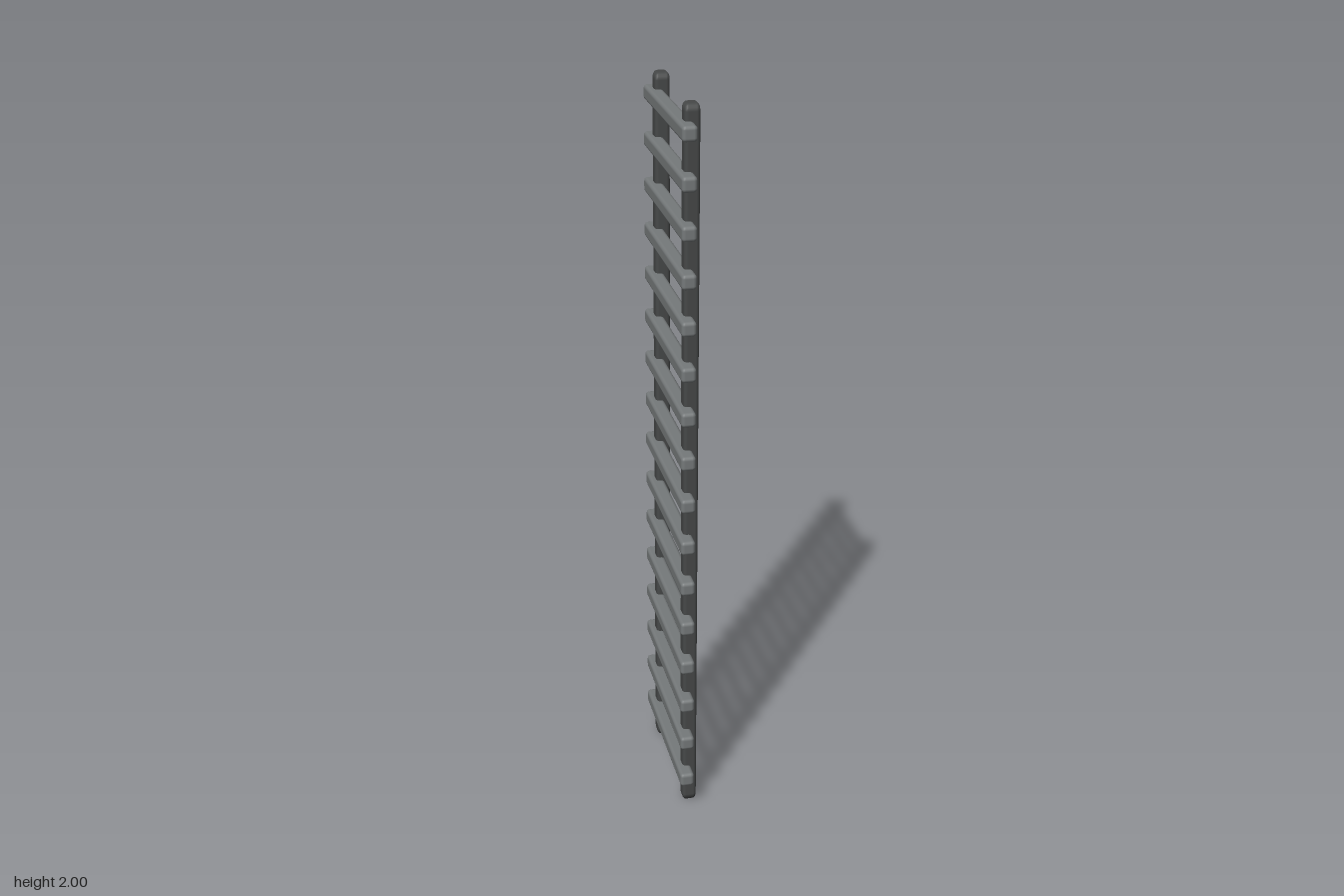
import * as THREE from 'three';
import { RoundedBoxGeometry } from 'three/addons/geometries/RoundedBoxGeometry.js';

const BEVEL = 0.01;
const RUNGS = 16;

// Bevelled bar standing on y, its end bevels lengthened by a factor
function bar(width, length, depth, endStretch) {
  const geo = new RoundedBoxGeometry(width, length - 2 * BEVEL * (endStretch - 1), depth, 2, BEVEL);
  const pos = geo.attributes.position;
  const inner = length / 2 - BEVEL * endStretch;
  for (let i = 0; i < pos.count; i++) {
    const y = pos.getY(i);
    const over = Math.abs(y) - inner;
    if (over > 0) pos.setY(i, Math.sign(y) * (inner + over * endStretch));
  }
  return geo;
}

export function createModel() {
  const group = new THREE.Group();
  const railMaterial = new THREE.MeshStandardMaterial({ color: 0x464848 });
  const rungMaterial = new THREE.MeshStandardMaterial({ color: 0x75797a });

  // Two upright rails
  const railGeometry = bar(0.04, 2, 0.042, 2);
  for (const [name, z] of [['frontRail', 0.162], ['backRail', -0.171]]) {
    const rail = new THREE.Mesh(railGeometry, railMaterial);
    rail.name = name;
    rail.position.set(0.008, 1, z);
    group.add(rail);
  }

  // Evenly spaced rungs, set into one side of the rails
  const rungs = new THREE.Group();
  rungs.name = 'rungs';
  const rungGeometry = bar(0.039, 0.454, 0.04, 1).rotateX(Math.PI / 2);
  for (let i = 0; i < RUNGS; i++) {
    const rung = new THREE.Mesh(rungGeometry, rungMaterial);
    rung.name = `rung${i + 1}`;
    rung.position.set(-0.0085, THREE.MathUtils.lerp(0.1, 1.937, i / (RUNGS - 1)), 0);
    rungs.add(rung);
  }
  group.add(rungs);
  return group;
}
